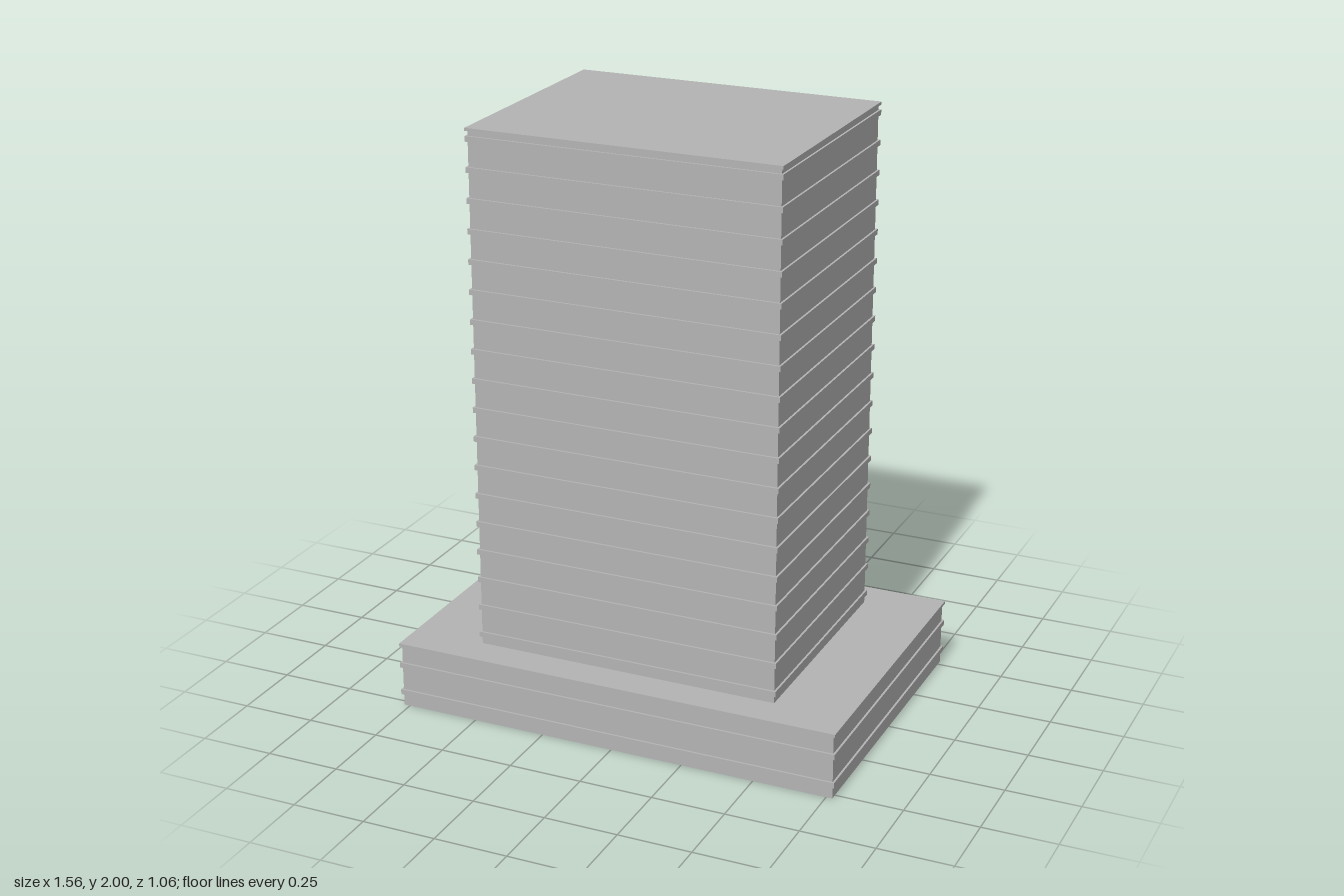
import * as THREE from 'three';

const concrete = new THREE.MeshStandardMaterial({ color: 0xb4b4b4 });
concrete.name = 'concrete grey';

// Box named by part, placed by its bottom height
function block(name, w, h, d, y) {
  const mesh = new THREE.Mesh(new THREE.BoxGeometry(w, h, d), concrete);
  mesh.name = name;
  mesh.position.y = y + h / 2;
  return mesh;
}

// Wall core with a thin roof cap and slightly projecting floor slabs
function storeys(name, w, d, bottom, top, firstSlab, count, spacing) {
  const group = new THREE.Group();
  group.name = name;
  const lip = 0.014, cap = 0.01, slab = 0.018;
  group.add(block(name + 'Walls', w - lip, top - bottom - cap, d - lip, bottom));
  group.add(block(name + 'Roof', w, cap, d, top - cap));
  for (let i = 0; i < count; i++) {
    group.add(block(name + 'FloorSlab', w, slab, d, firstSlab + i * spacing - slab / 2));
  }
  return group;
}

export function createModel() {
  const model = new THREE.Group();
  model.name = 'officeTower';
  // Wide two-line podium
  model.add(storeys('podium', 1.556, 1.06, 0, 0.23, 0.05, 2, 0.1));
  // Tall tower with regular floor lines
  model.add(storeys('tower', 1.064, 0.838, 0.23, 2, 0.265, 18, 0.1));
  return model;
}
